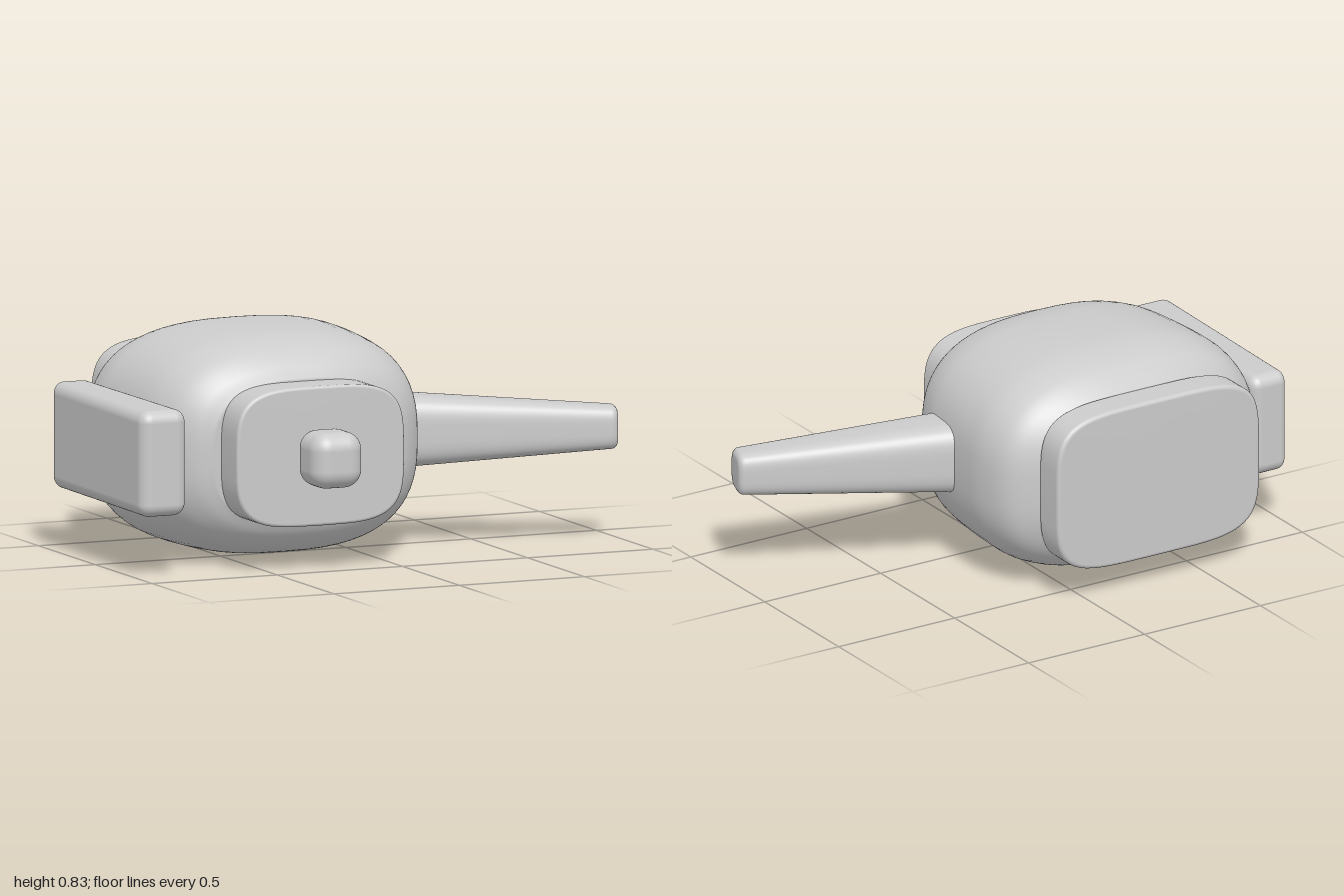
import * as THREE from 'three';
import { RoundedBoxGeometry } from 'three/addons/geometries/RoundedBoxGeometry.js';

const SIDES = 64;
const CX = -0.3, CY = 0.417; // axis of the pot body

// Skin a series of superellipse sections [z, halfWidth, halfHeight], z ascending
function loft(sections, power) {
  const pos = [], index = [];
  const first = sections[0], last = sections[sections.length - 1];
  const rings = [[first[0], 0, 0], ...sections, [last[0], 0, 0]]; // flat end caps
  const bend = v => Math.sign(v) * Math.pow(Math.abs(v), 2 / power);
  rings.forEach(([z, w, h], i) => {
    for (let j = 0; j < SIDES; j++) {
      const t = (j / SIDES) * Math.PI * 2;
      pos.push(w * bend(Math.cos(t)), h * bend(Math.sin(t)), z);
      if (i === rings.length - 1) continue;
      const a = i * SIDES + j, b = i * SIDES + (j + 1) % SIDES;
      index.push(a, b, b + SIDES, a, b + SIDES, a + SIDES);
    }
  });
  const geo = new THREE.BufferGeometry();
  geo.setAttribute('position', new THREE.Float32BufferAttribute(pos, 3));
  geo.setIndex(index);
  geo.computeVertexNormals();
  return geo;
}

// Straight or tapered block from z0 to z1 with rounded end edges
function block([z0, w0, h0], [z1, w1, h1], r, power) {
  const steps = 5, sections = [];
  for (let i = 0; i <= steps; i++) {
    const a = (i / steps) * Math.PI / 2, inset = r * (1 - Math.sin(a));
    sections.push([z0 + r * (1 - Math.cos(a)), w0 - inset, h0 - inset]);
  }
  for (let i = steps; i >= 0; i--) {
    const a = (i / steps) * Math.PI / 2, inset = r * (1 - Math.sin(a));
    sections.push([z1 - r * (1 - Math.cos(a)), w1 - inset, h1 - inset]);
  }
  return loft(sections, power);
}

export function createModel() {
  const model = new THREE.Group();
  model.name = 'teapot';
  const material = new THREE.MeshStandardMaterial({ color: 0xcccccc });
  const add = (name, geo, x, y, z) => {
    const mesh = new THREE.Mesh(geo, material);
    mesh.name = name;
    mesh.position.set(x, y, z);
    model.add(mesh);
    return mesh;
  };

  // Bulging body, lying with its lid towards the front
  const profile = new THREE.CatmullRomCurve3([
    [-0.52, 0.41, 0.285], [-0.5, 0.45, 0.315], [-0.45, 0.52, 0.357], [-0.4, 0.55, 0.386],
    [-0.3, 0.57, 0.411], [-0.2, 0.568, 0.417], [0, 0.552, 0.411], [0.1, 0.535, 0.4],
    [0.2, 0.495, 0.37], [0.27, 0.43, 0.315], [0.305, 0.36, 0.258],
  ].map(p => new THREE.Vector3(...p)));
  add('body', loft(profile.getPoints(60).map(p => p.toArray()), 2.7), CX, CY, 0);

  // Lid, its knob and the foot
  add('lid', block([0.29, 0.335, 0.257], [0.445, 0.335, 0.257], 0.012, 3.8), CX, CY, 0);
  add('knob', new RoundedBoxGeometry(0.2, 0.205, 0.2, 6, 0.065), CX, CY + 0.002, 0.527);
  add('foot', block([-0.63, 0.437, 0.308], [-0.5, 0.437, 0.308], 0.015, 4.5), CX, CY + 0.002, 0);

  // Slab handle, slightly thinner towards the back
  const handle = new RoundedBoxGeometry(0.185, 0.39, 0.85, 6, 0.045);
  const p = handle.attributes.position;
  for (let i = 0; i < p.count; i++) {
    p.setX(i, p.getX(i) * (0.905 + 0.19 * p.getZ(i) / 0.85));
  }
  add('handle', handle, -0.908, 0.42, -0.01);

  // Tapered spout, swung towards the front
  const spout = add('spout', block([0, 0.13, 0.137], [0.868, 0.072, 0.08], 0.025, 3.6), 0.15, 0.42, -0.034);
  spout.rotation.y = 1.241;

  return model;
}
